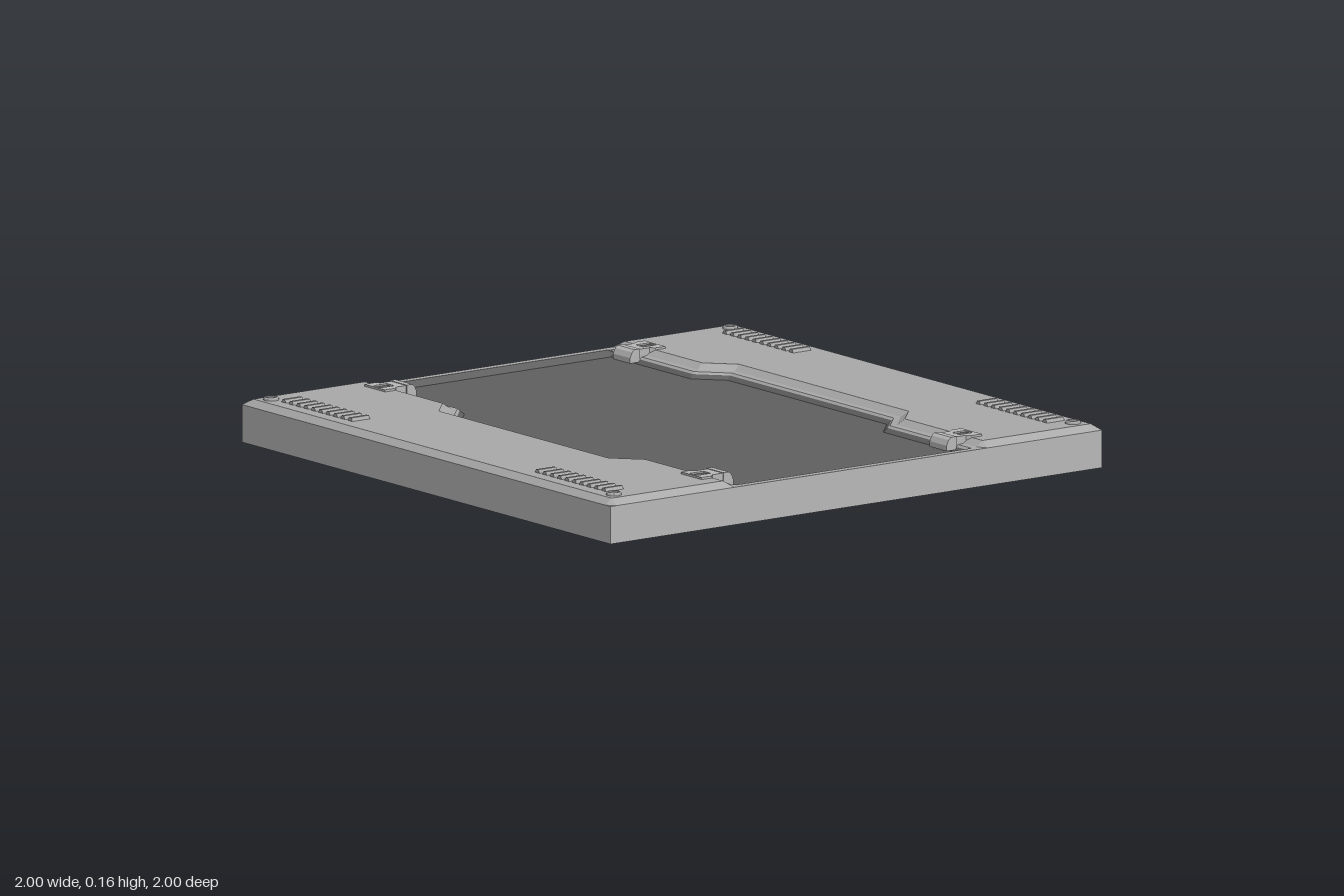
import * as THREE from 'three';

const BASE = 0.125, TOP = 0.145, FLOOR = 0.105;

const paint = (color) => new THREE.MeshStandardMaterial({ color, flatShading: true });

export function createModel() {
  const group = new THREE.Group();
  const deckPaint = paint(0xa9a9a9), sidePaint = paint(0xb9b9b9), darkPaint = paint(0x606060);
  const add = (name, geometry, material, x = 0, y = 0, z = 0, parent = group) => {
    const mesh = new THREE.Mesh(geometry, material);
    mesh.name = name;
    mesh.position.set(x, y, z);
    parent.add(mesh);
  };

  const panel = panelGeometries();
  add('deck', panel.deck, deckPaint);
  add('recessFloor', panel.floor, darkPaint);
  add('sidesAndUnderside', panel.sides, sidePaint);

  // Corner bolts: low caps with a chamfer and a dished centre
  const boltProfile = [[0.026, 0], [0.025, 0.006], [0.021, 0.01], [0.016, 0.01], [0.014, 0.007], [0, 0.007]]
    .map(([r, y]) => new THREE.Vector2(r, y));
  const bolt = new THREE.LatheGeometry(boltProfile, 12);

  // Vent rib lying along z, with a flat top and sloping sides
  const rib = new THREE.CylinderGeometry(0.0125, 0.0125, 0.072, 6, 1, false, Math.PI / 6);
  rib.rotateX(Math.PI / 2);

  const plate = latchPlateGeometry();
  const hook = latchHookGeometry();
  const slot = new THREE.BoxGeometry(0.044, 0.03, 0.058);

  for (const sx of [-1, 1]) {
    for (const sz of [-1, 1]) {
      add('cornerBolt', bolt, deckPaint, sx * 0.93, TOP, sz * 0.934);
      const vent = new THREE.Group();
      vent.name = 'ventRibs';
      for (let i = 0; i < 10; i++) {
        add('ventRib', rib, deckPaint, sx * (0.508 + i * 0.04), TOP, sz * 0.897 - 0.004, vent);
      }
      group.add(vent);

      // Latch facing the recess; built for +z and turned for -z
      const latch = new THREE.Group();
      latch.name = 'latch';
      latch.position.set(sx * 0.859, 0, sz * 0.5 - 0.005);
      if (sz < 0) latch.rotation.y = Math.PI;
      add('latchPlate', plate, sidePaint, 0, 0.115, 0, latch);
      add('latchHook', hook, sidePaint, -0.046, 0, 0, latch);
      add('latchSlot', slot, darkPaint, 0, 0.132, 0.033, latch);
      group.add(latch);
    }
  }
  return group;
}

// Slab with bevelled decks and a stepped recess, as a grid of rows (z) and columns (x)
function panelGeometries() {
  // half cross-section from the outer edge inward: [z on the side wings, height, corner inset]
  const half = [
    [1, 0, 0], [1, BASE, 0], [0.975, TOP, 0], [0.528, TOP, 0],
    [0.503, BASE + 0.002, 0.01], [0.482, BASE, 0.02], [0.474, 0.118, 0.022], [0.46, FLOOR, 0.028],
  ];
  const rows = [
    ...half.map(([z, y, inset]) => ({ z: -z, y, inset })),
    ...half.map(([z, y, inset]) => ({ z, y, inset })).reverse(),
  ];
  // columns of the right half: [x, how far the recess widens there]
  const right = [[0.46, 1], [0.55, 0], [0.953, 0], [0.972, 0], [1, 0], [1, 0]];
  const cols = [
    ...right.map(([x, widen]) => ({ x: -x, widen })).reverse(),
    ...right.map(([x, widen]) => ({ x, widen })),
  ];
  const n = cols.length, last = n - 1;

  const point = (row, c) => {
    const { x, widen } = cols[c];
    const ax = Math.abs(x);
    // the recess is wider across the middle span
    const z = Math.abs(row.z) < 0.6 ? row.z + Math.sign(row.z) * widen * 0.083 - 0.007 : row.z;
    let y = row.y;
    if (c === 0 || c === last) y = 0;
    else if (ax === 1) y = Math.min(y, y > 0 ? 0 : y) + (y > 0 ? BASE : 0);
    else if (ax === 0.972 && y > 0) y = Math.max(y, BASE);
    return [ax < 0.6 ? x - Math.sign(x) * row.inset : x, y, z];
  };

  const positions = [];
  rows.forEach((row) => cols.forEach((_, c) => positions.push(...point(row, c))));
  const index = { deck: [], floor: [], sides: [] };
  for (let r = 0; r < rows.length - 1; r++) {
    for (let c = 0; c < last; c++) {
      const edgeRow = r === 0 || r === rows.length - 2;
      const edgeCol = c === 0 || c === last - 1;
      if (edgeRow && edgeCol) continue;
      const inRecess = r >= 6 && r <= 8 && c >= 2 && c <= 8;
      const part = edgeRow || edgeCol ? 'sides' : inRecess ? 'floor' : 'deck';
      const a = r * n + c, b = a + 1, d = a + n, e = d + 1;
      index[part].push(a, d, b, b, d, e);
    }
  }
  // Underside
  const k = positions.length / 3;
  positions.push(-1, 0, -1, 1, 0, -1, 1, 0, 1, -1, 0, 1);
  index.sides.push(k, k + 1, k + 2, k, k + 2, k + 3);

  const build = (faces) => {
    const shared = new THREE.BufferGeometry();
    shared.setAttribute('position', new THREE.Float32BufferAttribute(positions, 3));
    shared.setIndex(faces);
    const geometry = shared.toNonIndexed();
    geometry.computeVertexNormals();
    return geometry;
  };
  return { deck: build(index.deck), floor: build(index.floor), sides: build(index.sides) };
}

// Flared plate with a rectangular slot, lying flat
function latchPlateGeometry() {
  const toPoint = ([x, z]) => new THREE.Vector2(x, -z);
  const shape = new THREE.Shape([
    [-0.056, 0.07], [-0.056, 0.03], [-0.042, 0.015], [-0.042, -0.035],
    [0.042, -0.035], [0.042, 0.015], [0.056, 0.03], [0.056, 0.07],
  ].map(toPoint));
  shape.holes.push(new THREE.Path([[-0.02, 0.06], [0.02, 0.06], [0.02, 0.006], [-0.02, 0.006]].map(toPoint)));
  const geometry = new THREE.ExtrudeGeometry(shape, { depth: 0.037, bevelEnabled: false });
  geometry.rotateX(-Math.PI / 2);
  return geometry;
}

// Sloping nose that hooks over the recess edge, extruded across x
function latchHookGeometry() {
  const shape = new THREE.Shape([
    [-0.026, 0.11], [-0.026, 0.154], [-0.048, 0.154], [-0.058, 0.146], [-0.066, 0.128], [-0.066, 0.11],
  ].map(([z, y]) => new THREE.Vector2(-z, y)));
  const geometry = new THREE.ExtrudeGeometry(shape, { depth: 0.092, bevelEnabled: false });
  geometry.rotateY(Math.PI / 2);
  return geometry;
}
